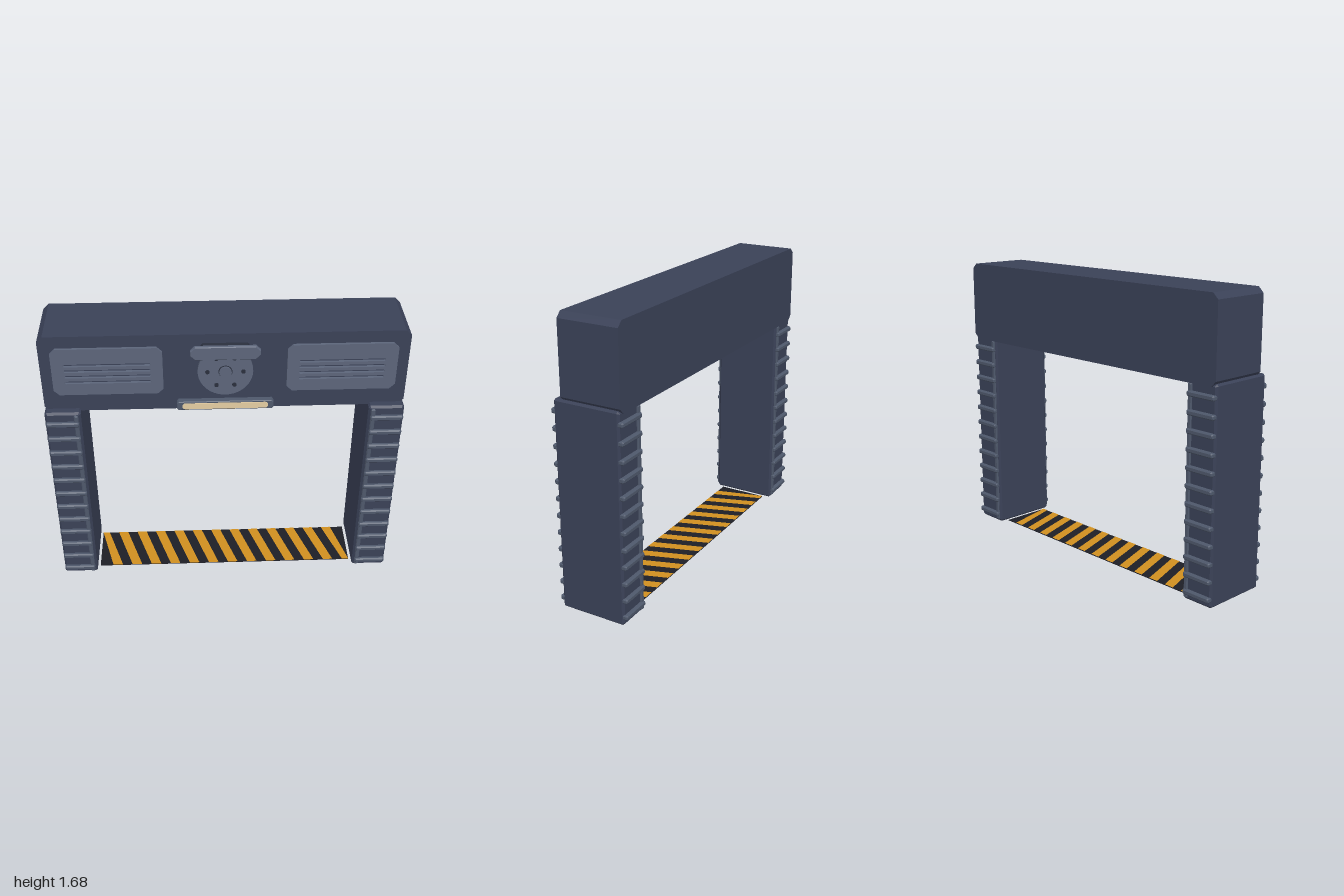
import * as THREE from 'three';

const mat = (name, color) => {
  const m = new THREE.MeshStandardMaterial({ color });
  m.name = name;
  return m;
};

// Outline of a rectangle with cut corners, centred on the origin
function cutRect(w, h, c, T = THREE.Shape) {
  const x = w / 2, y = h / 2;
  return new T([[-x + c, -y], [x - c, -y], [x, -y + c], [x, y - c],
    [x - c, y], [-x + c, y], [-x, y - c], [-x, -y + c]].map(p => new THREE.Vector2(...p)));
}

// Plate along z with chamfered front and back rims, spanning z0..z1
function plate(shape, z0, z1, b = 0) {
  const g = new THREE.ExtrudeGeometry(shape, {
    depth: z1 - z0 - 2 * b, bevelEnabled: b > 0, bevelSize: b, bevelOffset: -b,
    bevelThickness: b, bevelSegments: 1, curveSegments: 12,
  });
  return g.translate(0, 0, z0 + b);
}

// Disk facing +z, spanning z0..z1
const disk = (r, z0, z1, n = 40) =>
  new THREE.CylinderGeometry(r, r, z1 - z0, n).rotateX(Math.PI / 2).translate(0, 0, (z0 + z1) / 2);

// Horizontal rounded slot used as a hole
function slot(w, h, y) {
  const p = new THREE.Path(), r = h / 2, x = w / 2 - r;
  p.absarc(-x, y, r, Math.PI / 2, Math.PI * 1.5);
  p.absarc(x, y, r, -Math.PI / 2, Math.PI / 2);
  p.closePath();
  return p;
}

export function createModel() {
  const body = mat('navy body', 0x3a4157);
  const panel = mat('grey panel', 0x5c657a);
  const trim = mat('slate trim', 0x4e586b);
  const dark = mat('dark metal', 0x2a2f3d);
  const lamp = mat('warm lamp', 0xe4cda2);
  const black = mat('hazard black', 0x1d1e26);
  const amber = mat('hazard amber', 0xcf8f1f);

  const model = new THREE.Group();
  model.name = 'gateway';
  const add = (parent, name, geo, material, x = 0, y = 0, z = 0) => {
    const m = new THREE.Mesh(geo, material);
    m.name = name;
    m.position.set(x, y, z);
    parent.add(m);
    return m;
  };

  // Header beam
  add(model, 'header', plate(cutRect(2, 0.475, 0.032), -0.21, 0.15), body, 0, 1.4425);

  // Legs with rungs and an inner rail on the front and back
  const legGeo = plate(cutRect(0.2, 1.22, 0.01), -0.2, 0.2, 0.012);
  const rungGeo = plate(cutRect(0.185, 0.03, 0.007), -0.02, 0.02, 0.007);
  const railGeo = plate(cutRect(0.025, 1.19, 0.005), -0.01, 0.01, 0.004);
  for (const s of [-1, 1]) {
    const leg = new THREE.Group();
    leg.name = s > 0 ? 'leftLeg' : 'rightLeg';
    model.add(leg);
    add(leg, 'legBody', legGeo, body, s * 0.9, 0.61);
    for (const f of [-1, 1]) {
      add(leg, 'rail', railGeo, trim, s * 0.826, 0.61, f * 0.2);
      for (let i = 0; i < 12; i++) add(leg, 'rung', rungGeo, trim, s * 0.904, 0.05 + i * 0.1, f * 0.2);
    }
  }

  // Vent panels with four slots
  const vent = cutRect(0.6, 0.29, 0.03);
  for (let i = 0; i < 4; i++) vent.holes.push(slot(0.47, 0.016, -0.065 + i * 0.036));
  const ventGeo = plate(vent, 0.148, 0.166);
  for (const s of [-1, 1]) add(model, 'ventPanel', ventGeo, panel, s * 0.637, 1.465);

  // Round lock with bolts, hub and top bar
  const lock = new THREE.Group();
  lock.name = 'lock';
  lock.position.y = 1.475;
  model.add(lock);
  add(lock, 'drum', disk(0.14, 0.148, 0.185), dark);
  add(lock, 'lockFace', disk(0.15, 0.182, 0.2), panel);
  add(lock, 'hubRing', disk(0.038, 0.199, 0.203, 24), dark);
  add(lock, 'hub', disk(0.034, 0.199, 0.212, 24), panel);
  for (let i = 0; i < 6; i++) {
    const a = i * Math.PI / 3;
    add(lock, 'bolt', disk(0.012, 0.199, 0.206, 12), dark, Math.cos(a) * 0.097, Math.sin(a) * 0.097);
  }
  add(lock, 'topBar', plate(cutRect(0.375, 0.08, 0.025), 0.196, 0.22, 0.004), panel, 0, 0.125);
  add(lock, 'barMount', plate(cutRect(0.26, 0.05, 0.01), 0.148, 0.197), dark, 0, 0.125);

  // Lamp under the lock
  add(model, 'lampHousing', plate(cutRect(0.535, 0.055, 0.01), 0.148, 0.186, 0.004), trim, 0, 1.243);
  const lens = new THREE.Shape(slot(0.475, 0.037, 0).getPoints(8));
  add(model, 'lampLens', plate(lens, 0.185, 0.19), lamp, 0, 1.243);

  // Threshold with slanted hazard stripes
  const W = 0.785, D = 0.15, N = 13, pitch = 2 * W / N, lean = 0.05;
  add(model, 'threshold', new THREE.BoxGeometry(2 * W, 0.004, 2 * D), black, 0, 0.002);
  const clampX = x => Math.max(-W, Math.min(W, x));
  for (let i = 0; i < N; i++) {
    const x0 = -W + (i + 0.25) * pitch, x1 = x0 + pitch / 2;
    const stripe = new THREE.Shape([[x0 + lean, -D], [x1 + lean, -D], [x1 - lean, D], [x0 - lean, D]]
      .map(([x, y]) => new THREE.Vector2(clampX(x), y)));
    add(model, 'hazardStripe', new THREE.ShapeGeometry(stripe).rotateX(-Math.PI / 2), amber, 0, 0.006);
  }
  return model;
}
